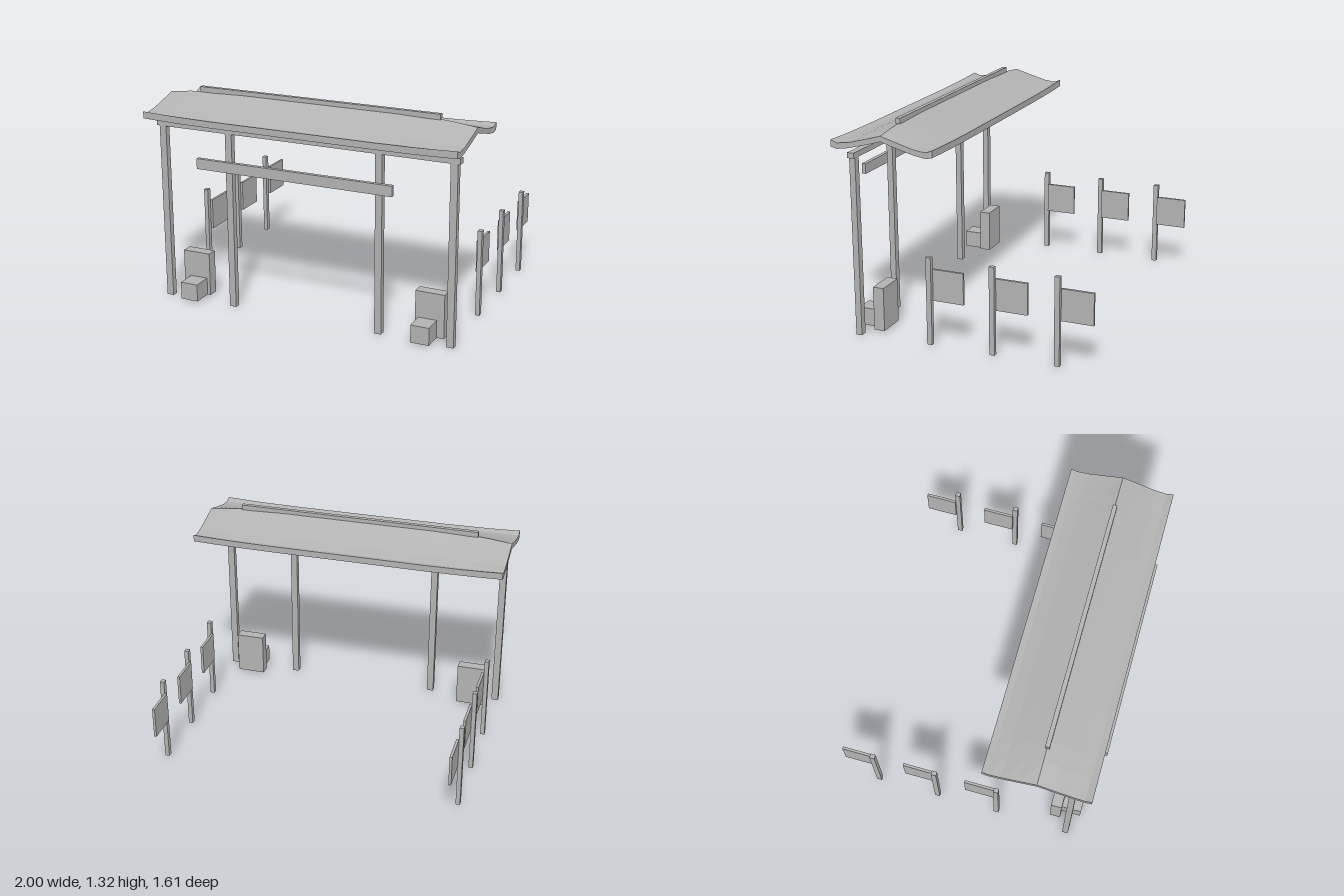
import * as THREE from 'three';

const grey = new THREE.MeshStandardMaterial({ color: 0xb2b2b2 });
grey.name = 'plain grey';

// box given by its [min, max] extent on each axis
function box(name, [x0, x1], [y0, y1], [z0, z1]) {
  const mesh = new THREE.Mesh(new THREE.BoxGeometry(x1 - x0, y1 - y0, z1 - z0), grey);
  mesh.position.set((x0 + x1) / 2, (y0 + y1) / 2, (z0 + z1) / 2);
  mesh.name = name;
  return mesh;
}

// curved gable roof: a closed cross-section lofted along x, ridge sagging and eaves lifting at the ends
function roofGeometry(ridgeZ) {
  // distance from ridge, top y in the middle, top y at the ends, bottom y in the middle, bottom y at the ends
  const profile = [
    [0, 1.297, 1.264, 1.262, 1.23],
    [0.1, 1.256, 1.235, 1.221, 1.201],
    [0.21, 1.213, 1.205, 1.178, 1.172],
    [0.285, 1.192, 1.196, 1.158, 1.16],
    [0.325, 1.2, 1.212, 1.16, 1.169],
  ];
  const half = [...profile].reverse().map(([d, ...y]) => [-d, ...y]);
  const rows = [...half, ...profile.slice(1)];
  const stations = [-1, -0.86, -0.74, -0.5, 0.5, 0.74, 0.86, 1];
  const n = rows.length;

  const rings = stations.map((x) => {
    const t = Math.max(0, (Math.abs(x) - 0.5) / 0.5) ** 2;
    const at = (r, k) => [x, r[k] + (r[k + 1] - r[k]) * t, ridgeZ + r[0]];
    return [...rows.map((r) => at(r, 1)), ...rows.map((r) => at(r, 3)).reverse()];
  });

  const pos = [];
  const quad = (a, b, c, d) => pos.push(...a, ...b, ...c, ...a, ...c, ...d);
  for (let i = 0; i < rings.length - 1; i++) {
    for (let j = 0; j < 2 * n; j++) {
      const k = (j + 1) % (2 * n);
      quad(rings[i][j], rings[i][k], rings[i + 1][k], rings[i + 1][j]);
    }
  }
  // gable end faces
  const left = rings[rings.length - 1], right = rings[0];
  for (let j = 0; j < n - 1; j++) {
    const bj = 2 * n - 1 - j;
    quad(left[bj], left[j], left[j + 1], left[bj - 1]);
    quad(right[bj - 1], right[j + 1], right[j], right[bj]);
  }
  const geometry = new THREE.BufferGeometry();
  geometry.setAttribute('position', new THREE.Float32BufferAttribute(pos, 3));
  geometry.computeVertexNormals();
  return geometry;
}

export function createModel() {
  const model = new THREE.Group();
  model.name = 'gateway';
  const centre = 0.008; // the supports sit slightly off the roof's centre

  // roof with ridge cap
  const roof = new THREE.Mesh(roofGeometry(0.47), grey);
  roof.name = 'roof';
  model.add(roof, box('ridgeCap', [-0.786, 0.781], [1.285, 1.318], [0.458, 0.485]));

  // crossbeam and hanging board
  model.add(box('crossbeam', [-0.968, 0.984], [1.107, 1.14], [0.655, 0.7]));
  model.add(box('nameBoard', [-0.631, 0.625], [0.904, 0.968], [0.785, 0.81]));

  // mirrored parts
  for (const [side, s] of [['left', 1], ['right', -1]]) {
    const span = (a, b) => [centre + s * a, centre + s * b].sort((p, q) => p - q);

    model.add(box(side + 'OuterPost', span(0.917, 0.961), [0, 1.11], [0.657, 0.695]));
    model.add(box(side + 'InnerPost', span(0.465, 0.508), [0, 1.11], [0.657, 0.695]));

    // stone slab with a low block in front
    model.add(box(side + 'Slab', span(0.692, 0.874), [0.01, 0.285], [0.55, 0.619]));
    model.add(box(side + 'Block', span(0.713, 0.828), [0.01, 0.12], [0.604, 0.742]));

    // row of sign posts, each with a panel reaching backwards
    for (let i = 0; i < 3; i++) {
      const z = 0.207 - 0.4 * i;
      const sign = new THREE.Group();
      sign.name = side + 'Sign' + (i + 1);
      sign.add(box('signPost', span(0.926, 0.953), [0.012, 0.556], [z - 0.016, z + 0.016]));
      sign.add(box('signPanel', span(0.911, 0.927), [0.283, 0.478], [z - 0.211, z - 0.014]));
      model.add(sign);
    }
  }
  return model;
}
